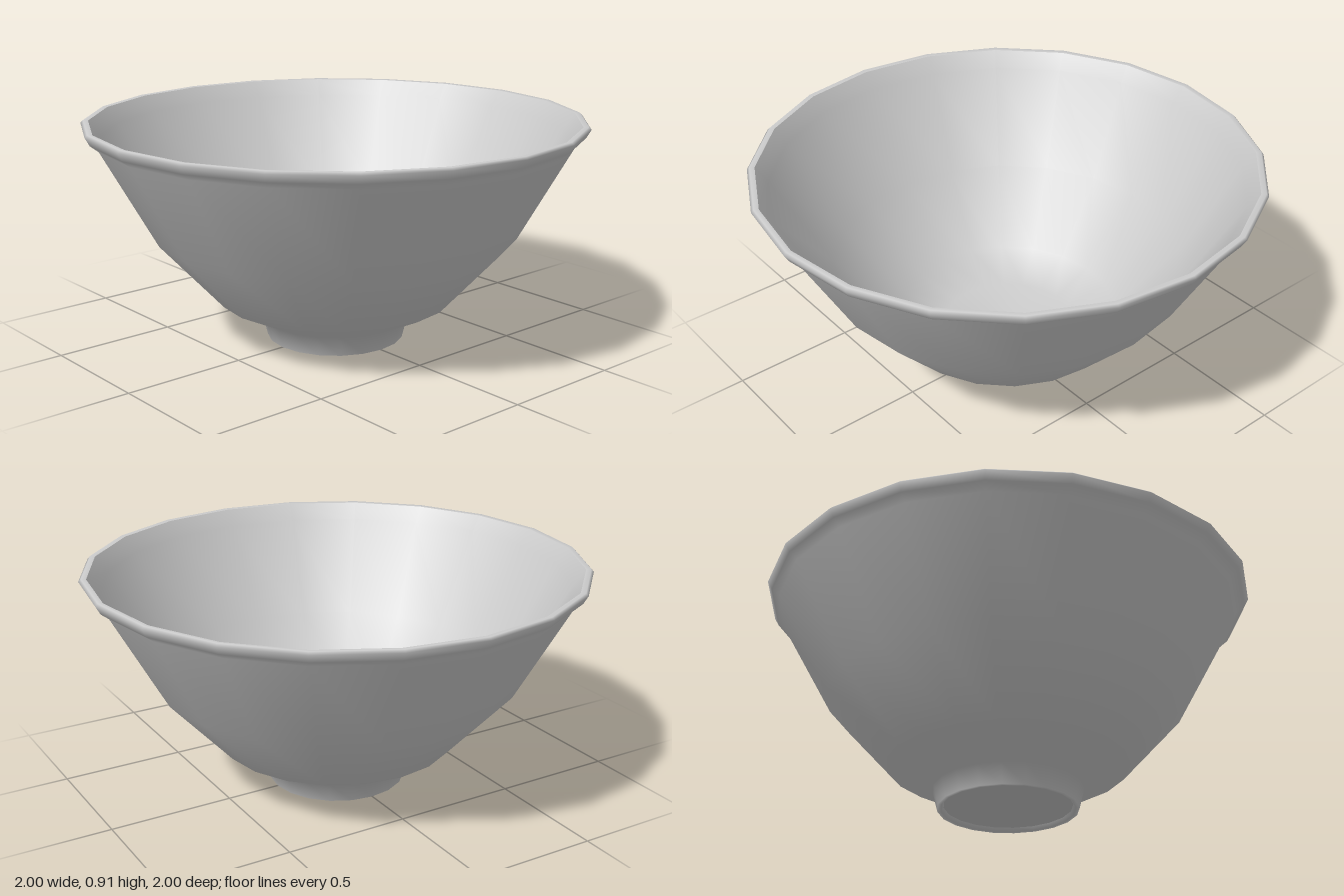
import * as THREE from 'three';

const SIDES = 20;

// Revolves a profile of [radius, height] pairs into a smooth mesh
function turned(name, profile) {
  const points = profile.map(([r, y]) => new THREE.Vector2(r, y));
  const material = new THREE.MeshStandardMaterial({ color: 0xcccccc });
  const mesh = new THREE.Mesh(new THREE.LatheGeometry(points, SIDES), material);
  mesh.name = name;
  return mesh;
}

export function createModel() {
  const bowl = new THREE.Group();
  bowl.name = 'bowl';

  // Underside, slightly recessed inside the foot ring
  bowl.add(turned('footBase', [[0, 0.015], [0.255, 0.015]]));

  // Foot ring, outer wall and flared lip in one smooth skin
  bowl.add(turned('outerWall', [
    [0.255, 0.015], [0.265, 0], [0.28, 0], [0.3, 0.08],
    [0.48, 0.17], [0.735, 0.45], [0.95, 0.84],
    [0.982, 0.865], [1, 0.897], [0.99, 0.907], [0.97, 0.905],
  ]));

  // Inner wall, from the lip down to the floor
  bowl.add(turned('innerWall', [
    [0.97, 0.905], [0.925, 0.84], [0.705, 0.46],
    [0.45, 0.19], [0.27, 0.115], [0, 0.1],
  ]));

  return bowl;
}
